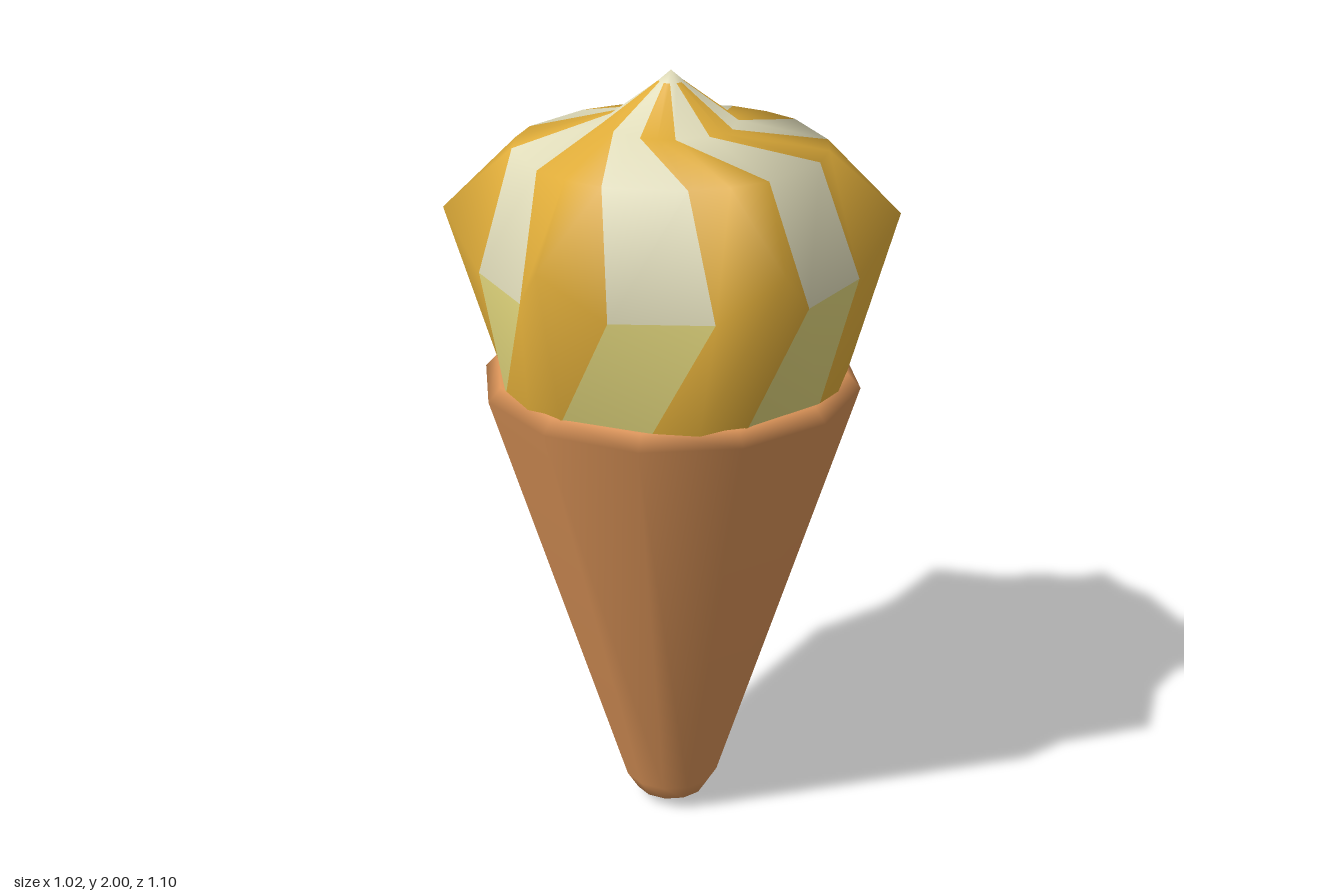
import * as THREE from 'three';

const mat = (name, color) => {
  const m = new THREE.MeshStandardMaterial({ color });
  m.name = name;
  return m;
};

export function createModel() {
  const wafer = mat('wafer tan', 0xd99257);
  const vanilla = mat('vanilla cream', 0xe0dcba);
  const paleYellow = mat('pale yellow', 0xdacf78);
  const caramel = mat('caramel yellow', 0xdfac39);

  const group = new THREE.Group();
  group.name = 'iceCreamCone';

  // Wafer cone: twelve-sided, rounded foot, bevelled rim
  const profile = [
    [0, 0], [0.035, 0.003], [0.095, 0.03], [0.125, 0.08],
    [0.475, 1.22], [0.443, 1.255], [0.39, 1.255],
  ].map(([r, y]) => new THREE.Vector2(r, y));
  const cone = new THREE.Mesh(new THREE.LatheGeometry(profile, 12), wafer);
  cone.name = 'waferCone';
  group.add(cone);

  // Swirl rings from bottom to top: twist (degrees), edge radius and height, ridge radius and height
  const rings = [
    { twist: -12, r: 0.437, y: 1.245, ridgeR: 0.437, ridgeY: 1.245 },
    { twist: 6.5, r: 0.472, y: 1.53, ridgeR: 0.555, ridgeY: 1.655 },
    { twist: 0, r: 0.38, y: 1.82, ridgeR: 0.38, ridgeY: 1.82 },
    { twist: -32, r: 0.162, y: 1.875, ridgeR: 0.162, ridgeY: 1.875 },
    { twist: -40, r: 0.03, y: 1.974, ridgeR: 0.03, ridgeY: 1.974 },
  ];
  const LOBES = 6;
  const N = LOBES * 3; // per lobe: stripe edge, ridge, stripe edge
  const positions = [];
  for (const { twist, r, y, ridgeR, ridgeY } of rings) {
    for (let j = 0; j < N; j++) {
      const k = j % 3;
      const ridge = k === 1;
      const a = THREE.MathUtils.degToRad(Math.floor(j / 3) * 60 + twist + (k - 1) * 15);
      const rad = ridge ? ridgeR : r;
      positions.push(rad * Math.sin(a), ridge ? ridgeY : y, rad * Math.cos(a));
    }
  }
  positions.push(0, 2, 0);
  const apex = rings.length * N;

  // Sort the faces by colour: cream, pale lower cream, caramel ridges
  const faces = [[], [], []];
  for (let i = 0; i < rings.length - 1; i++) {
    const turnsRight = rings[i + 1].twist > rings[i].twist;
    for (let j = 0; j < N; j++) {
      const n = (j + 1) % N;
      const a = i * N + j, b = i * N + n, c = b + N, d = a + N;
      const list = faces[j % 3 < 2 ? 2 : i === 0 ? 1 : 0];
      if (turnsRight) list.push(a, b, d, b, c, d);
      else list.push(a, b, c, a, c, d);
    }
  }
  // Peak
  for (let j = 0; j < N; j++) {
    faces[0].push(apex - N + j, apex - N + (j + 1) % N, apex);
  }

  const geometry = new THREE.BufferGeometry();
  geometry.setAttribute('position', new THREE.Float32BufferAttribute(positions, 3));
  geometry.setIndex(faces.flat());
  let start = 0;
  faces.forEach((list, m) => {
    geometry.addGroup(start, list.length, m);
    start += list.length;
  });
  geometry.computeVertexNormals();
  const swirl = new THREE.Mesh(geometry, [vanilla, paleYellow, caramel]);
  swirl.name = 'iceCreamSwirl';
  group.add(swirl);

  return group;
}
